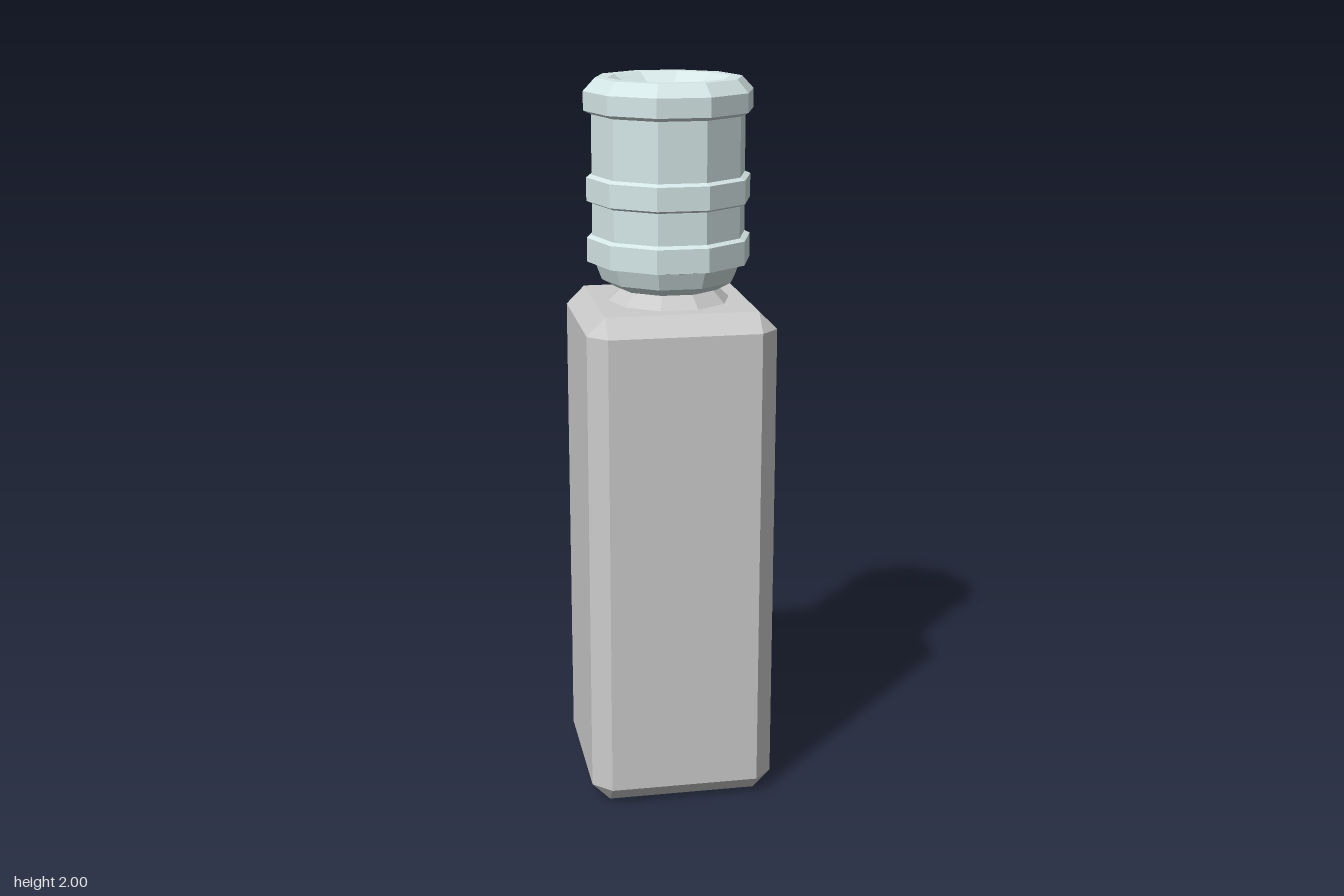
import * as THREE from 'three';

const H = 0.257, C = 0.207; // half width, half width inside the chamfer
const material = (color) => new THREE.MeshStandardMaterial({ color, flatShading: true });
const grey = material(0xcccccc);
const bottleBlue = material(0xd5e6e6);

function addMesh(parent, name, geometry, mat) {
  const mesh = new THREE.Mesh(geometry, mat);
  mesh.name = name;
  parent.add(mesh);
  return mesh;
}

// Joins rings of [x, y, z] points with flat quads, leaving out panels that skip(level, side) rejects
function loft(rings, { skip = () => false, capStart = false, capEnd = false } = {}) {
  const pos = [];
  const same = (p, q) => p.every((v, i) => v === q[i]);
  const tri = (a, b, c) => {
    if (!same(a, b) && !same(b, c) && !same(a, c)) pos.push(...a, ...b, ...c);
  };
  const n = rings[0].length;
  for (let l = 0; l < rings.length - 1; l++) {
    for (let i = 0; i < n; i++) {
      if (skip(l, i)) continue;
      const j = (i + 1) % n, a = rings[l], b = rings[l + 1];
      tri(a[i], a[j], b[j]);
      tri(a[i], b[j], b[i]);
    }
  }
  const first = rings[0], last = rings[rings.length - 1];
  for (let i = 1; i < n - 1; i++) {
    if (capStart) tri(first[0], first[i + 1], first[i]);
    if (capEnd) tri(last[0], last[i], last[i + 1]);
  }
  const g = new THREE.BufferGeometry();
  g.setAttribute('position', new THREE.Float32BufferAttribute(pos, 3));
  g.computeVertexNormals();
  return g;
}

// Ten-sided turned part with a corner on the x axis
function turned(profile) {
  const points = profile.map(([r, y]) => new THREE.Vector2(r, y));
  const g = new THREE.LatheGeometry(points, 10, Math.PI / 10).toNonIndexed();
  g.computeVertexNormals();
  return g;
}

// Eight-point square ring; h = C closes the cut corners
const ring = (y, h) => [[-C, h], [C, h], [h, C], [h, -C], [C, -h], [-C, -h], [-h, -C], [-h, C]]
  .map(([x, z]) => [x, y, z]);

function createCabinet() {
  const cabinet = new THREE.Group();
  cabinet.name = 'cabinet';

  // Chamfered shell, open on the tap side
  addMesh(cabinet, 'cabinetShell', loft(
    [ring(0, C), ring(0.05, H), ring(1.35, H), ring(1.4, C)],
    { skip: (l, i) => l === 1 && i === 2, capStart: true, capEnd: true }), grey);

  // Tap side panel with its opening
  const rect = (l, r, b, t) => [[l, b], [r, b], [r, t], [l, t]];
  const toShape = (Type, pts) => new Type(pts.map(([x, y]) => new THREE.Vector2(x, y)));
  const opening = rect(-0.186, 0.184, 0.818, 1.297);
  const panel = toShape(THREE.Shape, rect(-C, C, 0.05, 1.35));
  panel.holes.push(toShape(THREE.Path, opening));
  addMesh(cabinet, 'tapPanel',
    new THREE.ShapeGeometry(panel).rotateY(Math.PI / 2).translate(H, 0, 0), grey);

  // Tapered recess behind the opening
  const back = rect(-0.165, 0.161, 0.838, 1.257);
  const atDepth = (pts, x) => pts.map(([u, y]) => [x, y, -u]);
  addMesh(cabinet, 'tapRecess',
    loft([atDepth(opening, H), atDepth(back, 0.167)], { capEnd: true }), grey);
  return cabinet;
}

function createTap(name, color, z) {
  const tap = new THREE.Group();
  tap.name = name;
  const mat = material(color);
  // Stem, wider knob and a tapered spout at the front
  const along = (r, length, x) => new THREE.CylinderGeometry(r, r, length, 8)
    .rotateY(Math.PI / 8).rotateZ(-Math.PI / 2).translate(x, 0, 0);
  addMesh(tap, 'tapStem', along(0.014, 0.075, 0.204), mat);
  addMesh(tap, 'tapKnob', along(0.024, 0.04, 0.2), mat);
  addMesh(tap, 'tapSpout',
    new THREE.CylinderGeometry(0.014, 0.007, 0.068, 8).translate(0.241, -0.007, 0), mat);
  tap.position.set(0, 1.15, z);
  return tap;
}

export function createModel() {
  const model = new THREE.Group();
  model.name = 'waterCooler';

  model.add(createCabinet());
  model.add(createTap('hotTap', 0x8b0000, 0.06));
  model.add(createTap('coldTap', 0x1f0090, -0.07));

  // Collar that holds the bottle
  addMesh(model, 'collar', turned([[0.167, 1.4], [0.13, 1.437], [0, 1.437]]), grey);

  // Upturned bottle with two raised bands and a dished end
  addMesh(model, 'bottle', turned([
    [0, 1.435], [0.145, 1.437], [0.185, 1.46], [0.202, 1.505],
    [0.225, 1.51], [0.225, 1.575], [0.21, 1.582],
    [0.21, 1.668], [0.225, 1.675], [0.225, 1.738], [0.21, 1.745],
    [0.21, 1.905], [0.231, 1.915], [0.231, 1.966], [0.199, 2],
    [0.165, 2], [0.118, 1.97], [0, 1.97],
  ]), bottleBlue);

  return model;
}
